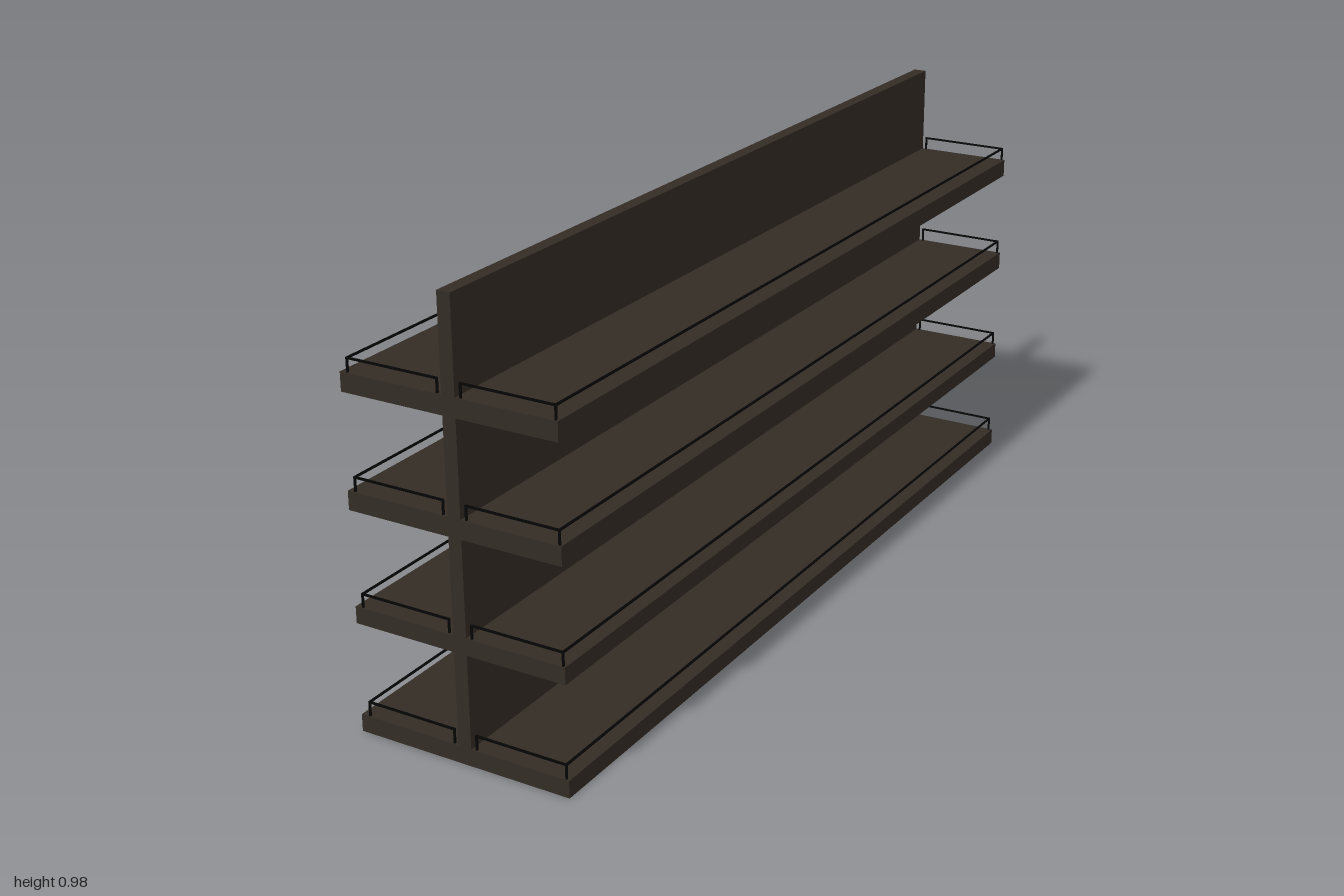
import * as THREE from 'three';

export function createModel() {
  const root = new THREE.Group();
  const wood = new THREE.MeshStandardMaterial({ color: 0x332c25 });
  const metal = new THREE.MeshStandardMaterial({ color: 0x050505 });

  // Box given by its minimum and maximum corners
  function box(parent, name, material, [x0, y0, z0], [x1, y1, z1]) {
    const mesh = new THREE.Mesh(new THREE.BoxGeometry(x1 - x0, y1 - y0, z1 - z0), material);
    mesh.position.set((x0 + x1) / 2, (y0 + y1) / 2, (z0 + z1) / 2);
    mesh.name = name;
    parent.add(mesh);
  }

  // Central upright panel
  box(root, 'centrePanel', wood, [-0.01, 0, -1], [0.02, 0.975, 1]);

  // Guard rail: a long outer bar, two end bars and four corner posts
  const t = 0.002, zEnd = 0.996;
  function guardRail(name, inner, outer, base, top) {
    const rail = new THREE.Group();
    rail.name = name;
    box(rail, 'outerBar', metal, [outer - t, top - 2 * t, -zEnd - t], [outer + t, top, zEnd + t]);
    for (const z of [-zEnd, zEnd]) {
      box(rail, 'endBar', metal, [Math.min(inner, outer) - t, top - 2 * t, z - t],
        [Math.max(inner, outer) + t, top, z + t]);
      for (const x of [inner, outer]) {
        box(rail, 'post', metal, [x - t, base, z - t], [x + t, top - t, z + t]);
      }
    }
    root.add(rail);
  }

  // Shelves: bottom, top, left edge, right edge, rail top
  const shelves = [
    [0, 0.038, -0.25, 0.248, 0.071],
    [0.243, 0.28, -0.247, 0.246, 0.311],
    [0.487, 0.528, -0.247, 0.246, 0.56],
    [0.732, 0.773, -0.247, 0.246, 0.804],
  ];
  shelves.forEach(([y0, y1, x0, x1, railTop], i) => {
    box(root, i ? 'shelf' : 'baseShelf', wood, [x0, y0, -1], [x1, y1, 1]);
    guardRail('leftGuardRail', 0.031, 0.24, y1, railTop);
    guardRail('rightGuardRail', -0.022, -0.231, y1, railTop);
  });

  return root;
}
